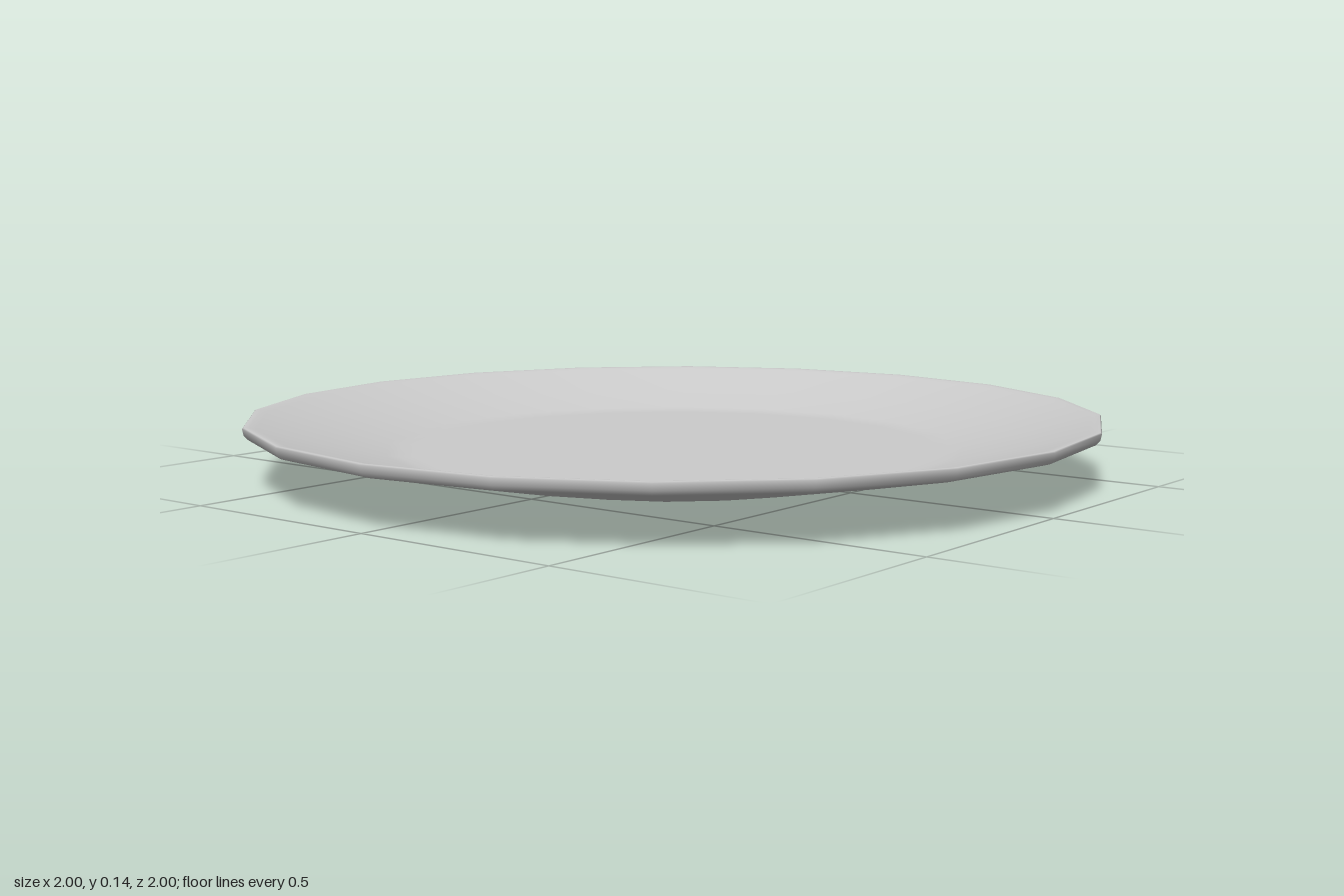
import * as THREE from 'three';

// Shallow round plate: one closed profile turned about y in 20 sides
export function createModel() {
  const group = new THREE.Group();
  group.name = 'dinnerPlate';

  const profile = [
    // underside with slightly recessed foot
    [0, 0.012], [0.37, 0.012], [0.39, 0.01], [0.41, 0], [0.425, 0],
    // outer flare
    [0.44, 0.003], [0.74, 0.06], [0.97, 0.107],
    // rim
    [0.988, 0.112], [0.997, 0.122], [1, 0.137], [0.997, 0.14], [0.985, 0.139],
    // inner slope
    [0.97, 0.135], [0.82, 0.095], [0.68, 0.063],
    // flat floor
    [0.65, 0.059], [0.62, 0.058], [0, 0.058],
  ].map(([r, y]) => new THREE.Vector2(r, y));

  const plate = new THREE.Mesh(
    new THREE.LatheGeometry(profile, 20),
    new THREE.MeshStandardMaterial({ color: 0xcccccc })
  );
  plate.name = 'plate';
  group.add(plate);
  return group;
}
